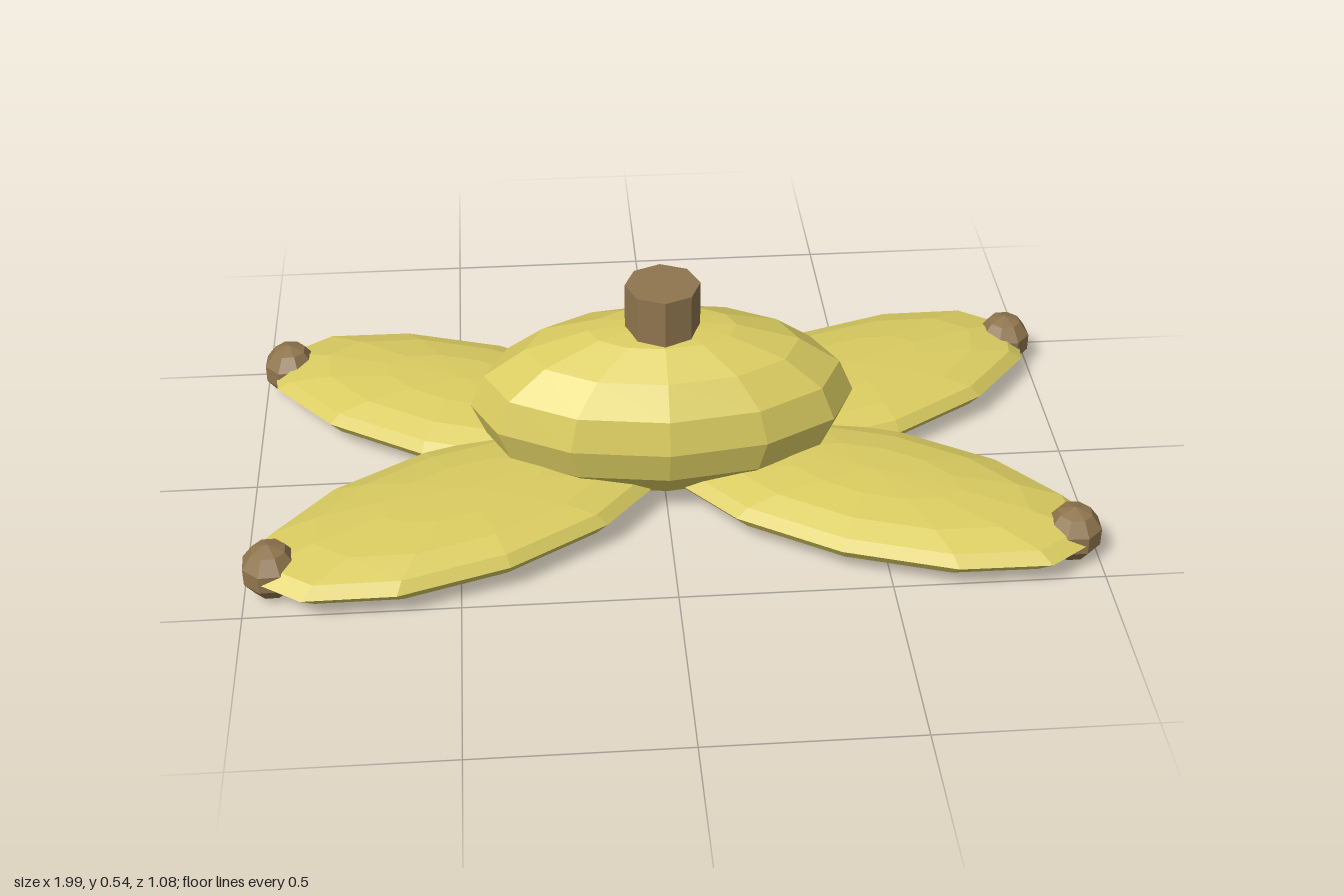
import * as THREE from 'three';

const yellow = new THREE.MeshStandardMaterial({ color: 0xdacc61, flatShading: true });
yellow.name = 'peel yellow';
const brown = new THREE.MeshStandardMaterial({ color: 0x8f754e, flatShading: true });
brown.name = 'stem brown';

// Low-poly ellipsoid with its poles on the y axis
function ellipsoid(name, material, radii, sides, rings) {
  const geometry = new THREE.SphereGeometry(1, sides, rings);
  geometry.scale(...radii);
  const mesh = new THREE.Mesh(geometry, material);
  mesh.name = name;
  return mesh;
}

export function createModel() {
  const model = new THREE.Group();
  model.name = 'peel';

  // Domed body
  const body = ellipsoid('body', yellow, [0.466, 0.218, 0.25], 12, 8);
  body.position.y = 0.22;
  model.add(body);

  // Stem on top
  const stem = new THREE.Mesh(new THREE.CylinderGeometry(0.09, 0.09, 0.143, 8), brown);
  stem.name = 'stem';
  stem.position.y = 0.4715;
  model.add(stem);

  // Four flat peel flaps spread in an X, each with a brown tip
  const spread = THREE.MathUtils.degToRad(25);
  for (const sx of [1, -1]) {
    for (const sz of [1, -1]) {
      const flap = ellipsoid('peelFlap', yellow, [0.54, 0.07, 0.246], 12, 8);
      flap.position.set(sx * 0.488, 0.075, sz * 0.231);
      flap.rotation.y = -sx * sz * spread;

      const tip = ellipsoid('flapTip', brown, [0.07, 0.07, 0.07], 8, 5);
      tip.position.set(sx * 0.934, 0.075, sz * 0.415);
      tip.rotation.y = -sx * sz * spread;
      model.add(flap, tip);
    }
  }
  return model;
}
